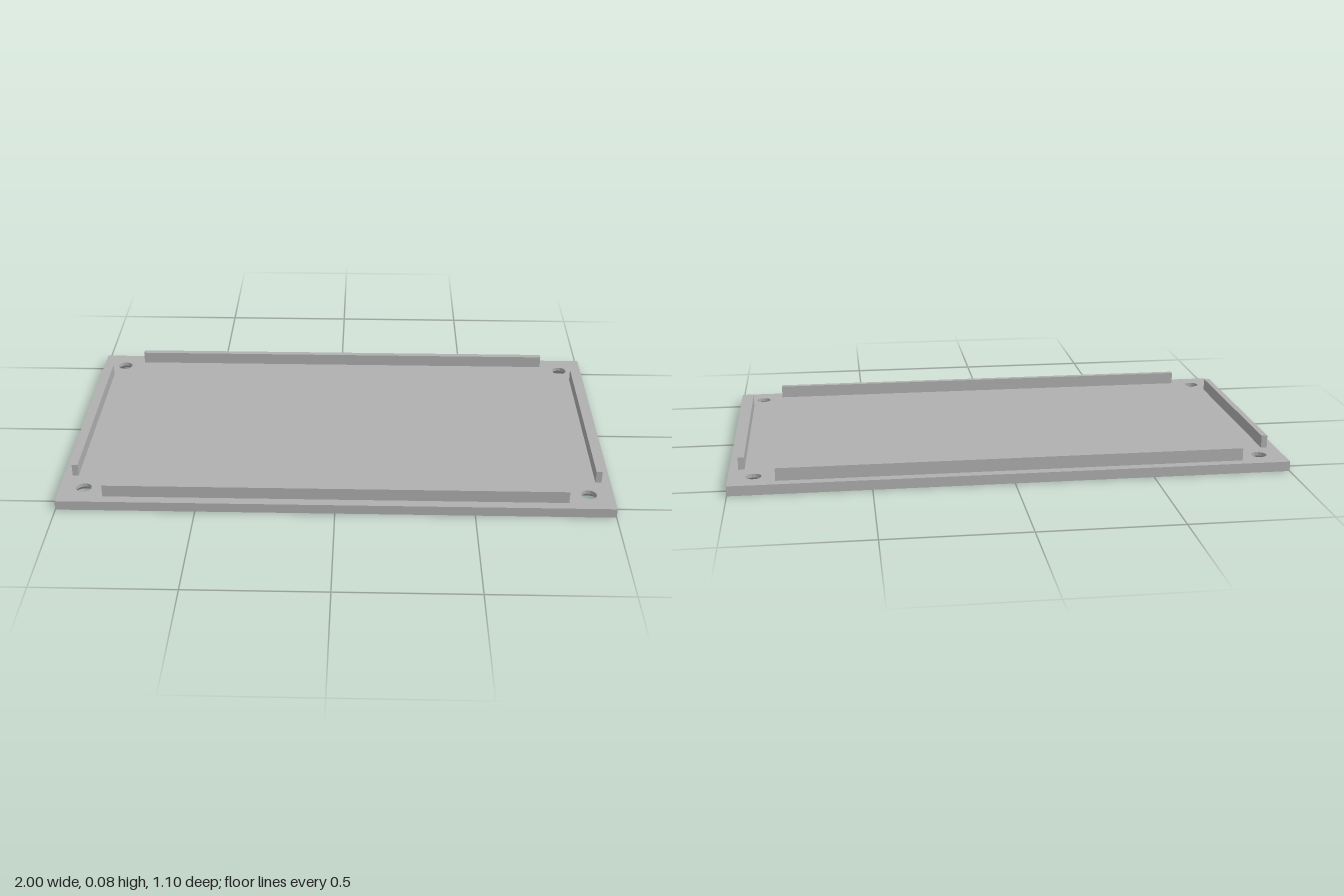
import * as THREE from 'three';
import { toCreasedNormals } from 'three/addons/utils/BufferGeometryUtils.js';

const W = 2, D = 1.104, T = 0.036;       // plate width, depth, thickness
const HOLE_X = 0.911, HOLE_Z = 0.463;    // screw hole centres
const R = 0.028, R_SINK = 0.05, SINK = 0.022;

export function createModel() {
  const model = new THREE.Group();
  const grey = new THREE.MeshStandardMaterial({ color: 0xb0b0b0 });
  grey.name = 'plain grey';

  const add = (name, geometry, x = 0, y = 0, z = 0, parent = model) => {
    const mesh = new THREE.Mesh(geometry, grey);
    mesh.name = name;
    mesh.position.set(x, y, z);
    parent.add(mesh);
    return mesh;
  };

  // Flat rectangle pierced by four corner holes
  const pierced = (radius) => {
    const s = new THREE.Shape();
    s.moveTo(-W / 2, -D / 2).lineTo(W / 2, -D / 2).lineTo(W / 2, D / 2).lineTo(-W / 2, D / 2).closePath();
    for (const x of [-HOLE_X, HOLE_X]) for (const z of [-HOLE_Z, HOLE_Z]) {
      s.holes.push(new THREE.Path().absarc(x, z, radius, 0, Math.PI * 2, true));
    }
    return new THREE.ShapeGeometry(s, 32);
  };

  // Base plate: top, underside and four edges
  const plate = new THREE.Group();
  plate.name = 'basePlate';
  model.add(plate);
  add('plateTop', pierced(R).rotateX(-Math.PI / 2), 0, T, 0, plate);
  add('plateUnderside', pierced(R_SINK).rotateX(Math.PI / 2), 0, 0, 0, plate);
  for (let i = 0; i < 4; i++) {
    const [length, offset] = i % 2 ? [D, W / 2] : [W, D / 2];
    const edge = new THREE.PlaneGeometry(length, T).translate(0, T / 2, offset).rotateY(i * Math.PI / 2);
    add('plateEdge', edge, 0, 0, 0, plate);
  }

  // Countersunk hole walls, wide at the underside
  const profile = [[R, T], [R, SINK], [R_SINK, 0]].map(([r, y]) => new THREE.Vector2(r, y));
  const wall = toCreasedNormals(new THREE.LatheGeometry(profile, 32), 0.6);
  for (const x of [-HOLE_X, HOLE_X]) for (const z of [-HOLE_Z, HOLE_Z]) {
    add('countersunkHole', wall, x, 0, z, plate);
  }

  // Locating ribs along all four sides
  const ribH = 0.046, ribT = 0.022;
  for (const side of [-1, 1]) {
    add('longRib', new THREE.BoxGeometry(1.668, ribH, ribT), 0, T + ribH / 2, side * 0.506);
    add('shortRib', new THREE.BoxGeometry(ribT, ribH, 0.77), side * 0.956, T + ribH / 2, -0.002);
  }
  return model;
}
